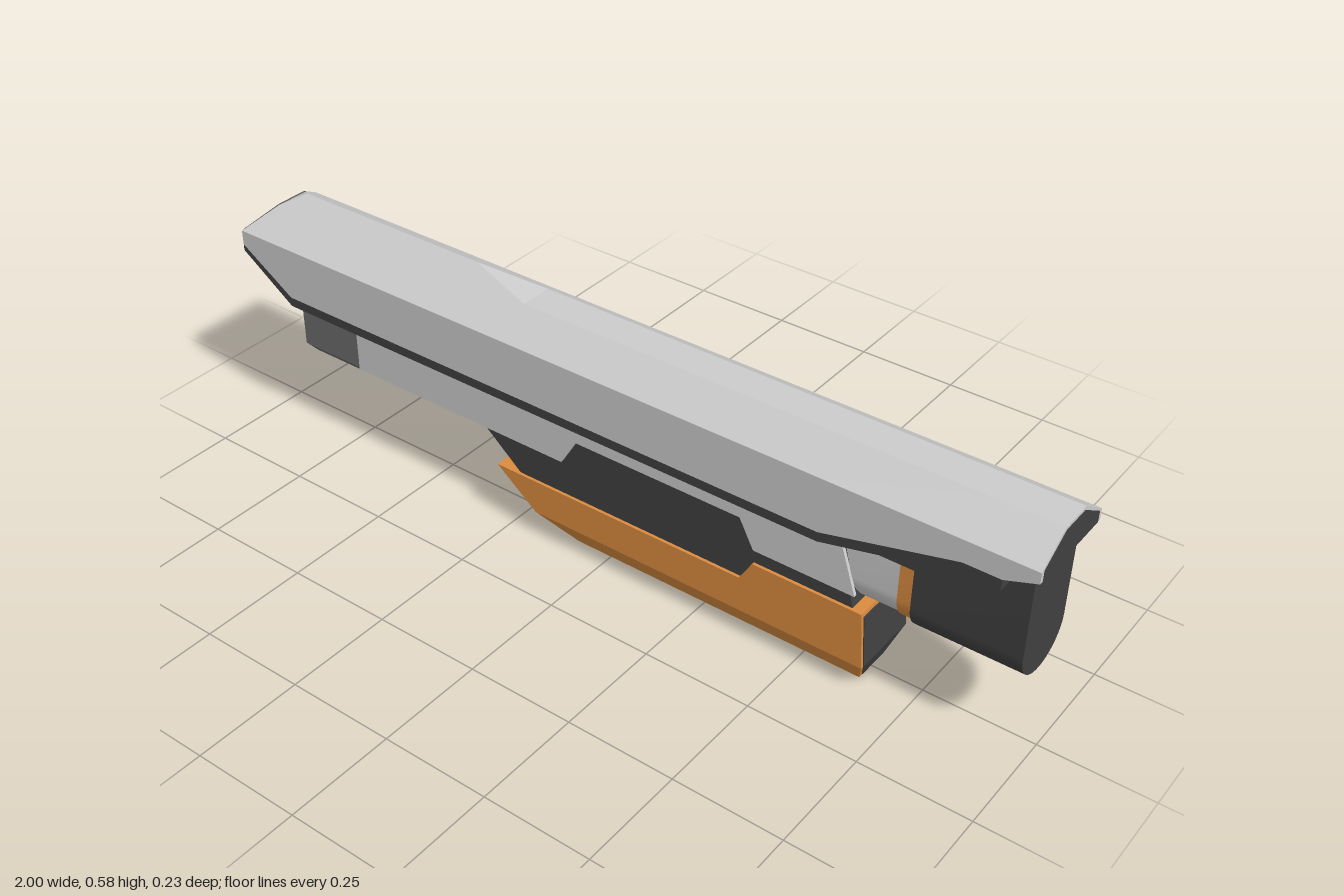
import * as THREE from 'three';
import { toCreasedNormals } from 'three/addons/utils/BufferGeometryUtils.js';

const mat = (color) => new THREE.MeshStandardMaterial({ color, flatShading: true });

// Closed solid through rings of equal point count, with fan caps at both ends
function loft(rings) {
  const pos = [], n = rings[0].length;
  const tri = (a, b, c) => pos.push(...a, ...b, ...c);
  for (let i = 0; i + 1 < rings.length; i++) {
    for (let j = 0; j < n; j++) {
      const k = (j + 1) % n, A = rings[i], B = rings[i + 1];
      tri(A[j], B[j], B[k]);
      tri(A[j], B[k], A[k]);
    }
  }
  const first = rings[0], last = rings[rings.length - 1];
  for (let j = 1; j + 1 < n; j++) {
    tri(first[0], first[j], first[j + 1]);
    tri(last[0], last[j + 1], last[j]);
  }
  // Turn the faces outward if the signed volume is negative
  let volume = 0;
  const v = (i) => new THREE.Vector3(pos[i], pos[i + 1], pos[i + 2]);
  for (let i = 0; i < pos.length; i += 9) volume += v(i).dot(v(i + 3).cross(v(i + 6)));
  if (volume < 0) {
    for (let i = 0; i < pos.length; i += 9) {
      for (let k = 0; k < 3; k++) [pos[i + 3 + k], pos[i + 6 + k]] = [pos[i + 6 + k], pos[i + 3 + k]];
    }
  }
  const g = new THREE.BufferGeometry();
  g.setAttribute('position', new THREE.Float32BufferAttribute(pos, 3));
  g.computeVertexNormals();
  return g;
}

// Flat convex panel thickened along an offset
const panel = (pts, off) => loft([pts, pts.map((p) => p.map((c, i) => c + off[i]))]);

// Side profile in x, y extruded from z0 to z1
function profile(points, z0, z1) {
  const shape = new THREE.Shape(points.map(([x, y]) => new THREE.Vector2(x, y)));
  return new THREE.ExtrudeGeometry(shape, { depth: z1 - z0, bevelEnabled: false }).translate(0, 0, z0);
}

// U-shaped section with a rounded underside, running from x0 to x1; the x0 end may slant
function trough(x0, x1, top, bottom, w, slant = 0) {
  const section = [[-w, top]];
  for (let i = 0; i <= 24; i++) {
    const a = Math.PI * (1 + i / 24);
    section.push([w * Math.cos(a), bottom + 0.075 + 0.075 * Math.sin(a)]);
  }
  section.push([w, top]);
  const start = section.map(([z, y]) => [x0 + (slant * (top - y)) / (top - bottom), y, z]);
  return toCreasedNormals(loft([start, section.map(([z, y]) => [x1, y, z])]), 0.45);
}

export function createModel() {
  const model = new THREE.Group();
  const light = mat(0xcccccc), dark = mat(0x404040), mid = mat(0x6b6b6b), orange = mat(0xdb8c40);
  const smoothLight = new THREE.MeshStandardMaterial({ color: 0xcccccc });
  const smoothDark = new THREE.MeshStandardMaterial({ color: 0x404040 });
  const smoothOrange = new THREE.MeshStandardMaterial({ color: 0xdb8c40 });
  const add = (name, geometry, material) => {
    const mesh = new THREE.Mesh(geometry, material);
    mesh.name = name;
    model.add(mesh);
  };
  const W = 0.117;

  // Long ridged top shell: x, ridge height, lower edge height
  const shell = [
    [-1, 0.5, 0.465], [-0.95, 0.55, 0.433], [-0.9, 0.578, 0.401], [-0.86, 0.578, 0.375],
    [-0.39, 0.578, 0.375], [-0.23, 0.552, 0.375], [0.55, 0.552, 0.375],
    [0.85, 0.45 + 0.102, 0.45], [0.93, 0.552, 0.45], [1, 0.552, 0.475],
  ];
  add('topShell', loft(shell.map(([x, top, low]) => {
    const f = (0.578 - top) * 1.5;
    return [[x, low, W], [x, 0.5, W], [x, top, f], [x, top, -f], [x, 0.5, -W], [x, low, -W]];
  })), light);

  // Dark skirt below the shell
  const skirt = [[-1, 0.465, 0.45], [-0.86, 0.375, 0.353], [0.55, 0.375, 0.353], [0.85, 0.45, 0.425], [0.93, 0.45, 0.425]];
  add('shellSkirt', loft(skirt.map(([x, top, low]) => [[x, low, W], [x, top, W], [x, top, -W], [x, low, -W]])), dark);

  // Dark facings on both ends and the underside of the rear overhang
  add('noseSlope', panel([[-0.998, 0.5, 0.112], [-0.951, 0.549, 0.039], [-0.951, 0.549, -0.039], [-0.998, 0.5, -0.112]], [-0.002, 0.002, 0]), dark);
  add('noseFace', panel([[-0.999, 0.466, 0.112], [-0.999, 0.5, 0.112], [-0.999, 0.5, -0.112], [-0.999, 0.466, -0.112]], [-0.001, 0, 0]), dark);
  add('rearFace', panel([[0.999, 0.475, 0.107], [0.999, 0.5, 0.107], [0.999, 0.545, 0.036], [0.999, 0.545, -0.036], [0.999, 0.5, -0.107], [0.999, 0.475, -0.107]], [0.002, 0, 0]), dark);
  add('rearUnderside', panel([[0.93, 0.45, 0.107], [0.999, 0.475, 0.107], [0.999, 0.475, -0.107], [0.93, 0.45, -0.107]], [0, -0.003, 0]), dark);

  // Dark core of the body and the filler up to the rising skirt
  add('bodyCore', profile([
    [-0.7, 0.36], [-0.7, 0.235], [-0.32, 0.235], [-0.22, 0.15], [0.36, 0.15], [0.39, 0.2], [0.62, 0.2], [0.585, 0.36],
  ], -0.081, 0.081), dark);
  add('upperFiller', profile([[0.5, 0.354], [0.76, 0.354], [0.76, 0.42], [0.5, 0.37]], -0.082, 0.082), dark);

  // Pale side plates with a stepped notch
  for (const z of [-0.087, 0.079]) {
    add('sidePlate', profile([
      [-0.69, 0.234], [-0.1, 0.234], [-0.06, 0.3], [0.355, 0.3], [0.39, 0.234], [0.625, 0.234], [0.585, 0.356], [-0.69, 0.356],
    ], z, z + 0.008), light);
  }

  // Front block with a chamfered keel that slopes up at its rear
  add('frontBlock', new THREE.BoxGeometry(0.185, 0.125, 0.164).translate(-0.7725, 0.2975, 0), mid);
  const rect = (x0, x1, y, z) => [[x0, y, z], [x1, y, z], [x1, y, -z], [x0, y, -z]];
  add('frontKeel', loft([rect(-0.865, -0.51, 0.2, 0.05), rect(-0.865, -0.46, 0.236, 0.082)]), mid);

  // Rounded collar, band and rear block
  add('collar', trough(0.59, 0.715, 0.356, 0.2, 0.08, 0.04), smoothLight);
  add('collarBand', trough(0.712, 0.745, 0.356, 0.196, 0.081), smoothOrange);
  add('rearBlock', trough(0.742, 0.978, 0.466, 0.188, 0.082), smoothDark);

  // Lower housing, its raised rear and its dark end cap
  add('lowerHousing', loft([
    rect(-0.09, 0.63, 0, 0.045), rect(-0.175, 0.655, 0.067, 0.088), rect(-0.28, 0.649, 0.15, 0.088),
  ]), orange);
  add('lowerHousingRear', loft([rect(0.36, 0.649, 0.15, 0.088), rect(0.39, 0.645, 0.2, 0.088)]), orange);
  add('lowerEndCap', loft([
    rect(0.6, 0.635, 0.008, 0.041), rect(0.6, 0.657, 0.069, 0.081), rect(0.6, 0.648, 0.19, 0.081),
  ]), dark);

  return model;
}
